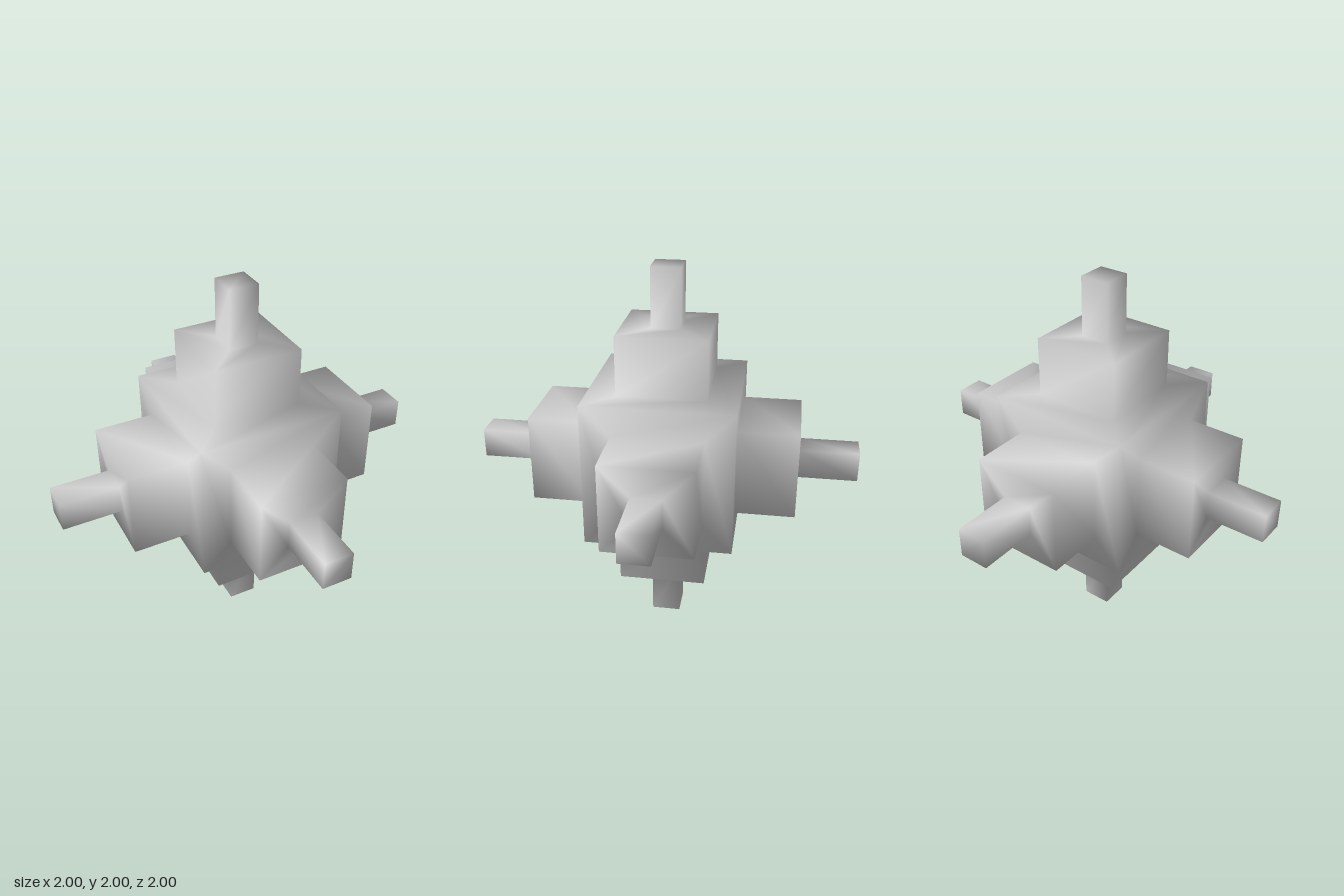
import * as THREE from 'three';
import { mergeGeometries, mergeVertices } from 'three/addons/utils/BufferGeometryUtils.js';

const U = 1 / 13; // module unit of the stepped shape

// Square rings [half width, distance from centre]: cube face, inset, block, inset, tip
const RINGS = [[5, 5], [3, 5], [3, 9], [1, 9], [1, 13]];
const CORNERS = [[-1, 1], [1, 1], [1, -1], [-1, -1]];

// One cube face with its stepped arm, pointing up
function armGeometry() {
  const positions = [];
  const corner = (ring, i) => {
    const [half, height] = RINGS[ring];
    const [x, z] = CORNERS[i % 4];
    return [x * half * U, height * U, z * half * U];
  };
  const quad = (a, b, c, d) => positions.push(...a, ...b, ...c, ...a, ...c, ...d);
  const last = RINGS.length - 1;
  for (let r = 0; r < last; r++) {
    for (let i = 0; i < 4; i++) {
      quad(corner(r, i), corner(r, i + 1), corner(r + 1, i + 1), corner(r + 1, i));
    }
  }
  quad(corner(last, 0), corner(last, 1), corner(last, 2), corner(last, 3));
  const geometry = new THREE.BufferGeometry();
  geometry.setAttribute('position', new THREE.Float32BufferAttribute(positions, 3));
  return geometry;
}

export function createModel() {
  const group = new THREE.Group();
  group.name = 'steppedStar';

  // Six arms: four around the x axis, two along x
  const q = Math.PI / 2;
  const arms = [];
  for (let i = 0; i < 4; i++) arms.push(armGeometry().rotateX(i * q));
  for (const side of [-1, 1]) arms.push(armGeometry().rotateZ(side * q));

  // Weld into one closed surface so the shading runs smoothly over all edges
  const body = mergeVertices(mergeGeometries(arms), 1e-4);
  body.computeVertexNormals();
  body.translate(0, 1, 0);

  const mesh = new THREE.Mesh(body, new THREE.MeshStandardMaterial({ color: 0xcccccc }));
  mesh.name = 'cubeWithSteppedArms';
  group.add(mesh);
  return group;
}
